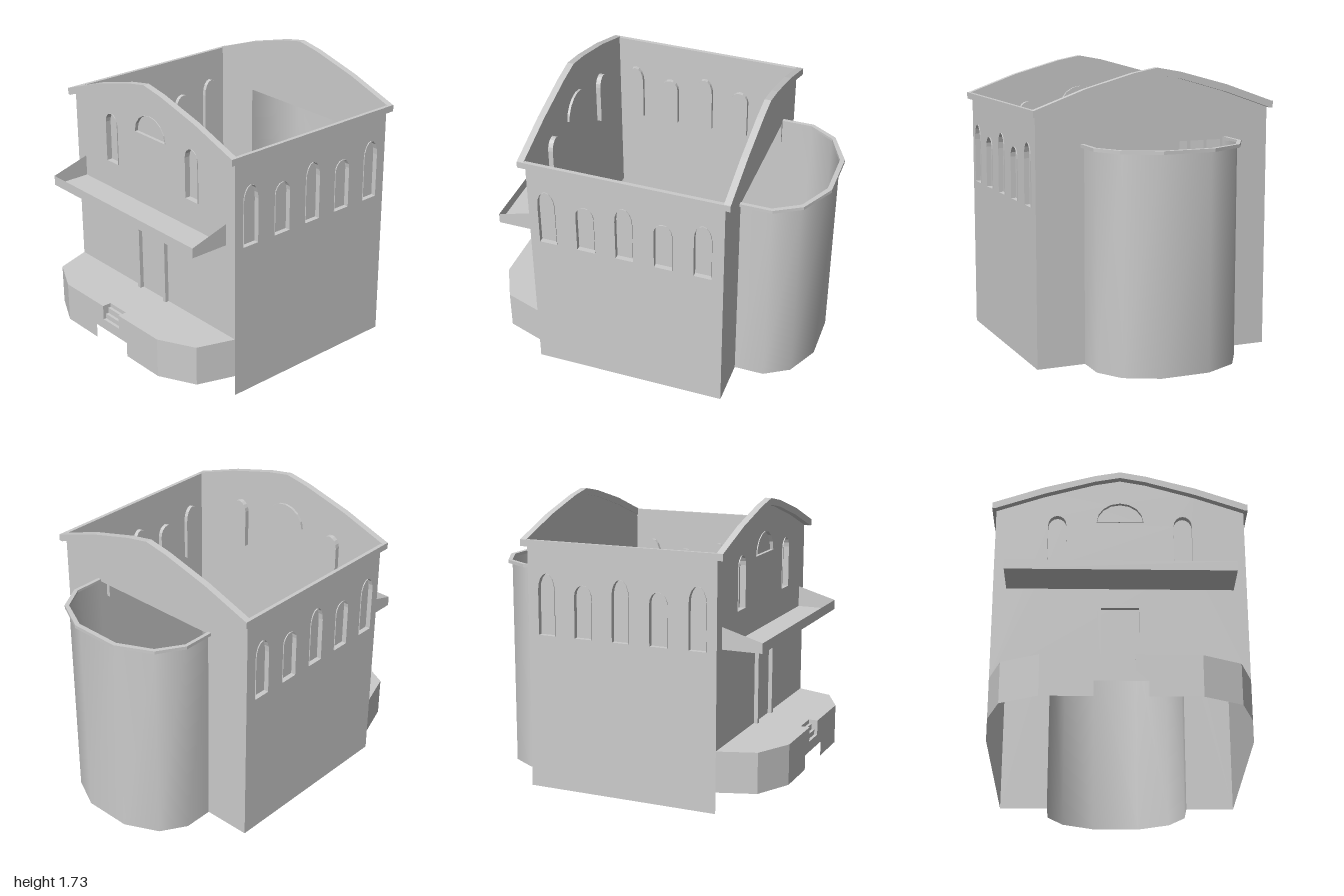
import * as THREE from 'three';

const mat = new THREE.MeshStandardMaterial({ color: 0xcccccc, side: THREE.DoubleSide });
const V = (x, y, z) => new THREE.Vector3(x, y, z);

function add(parent, name, geometry) {
  const mesh = new THREE.Mesh(geometry, mat);
  mesh.name = name;
  parent.add(mesh);
  return mesh;
}

function box(parent, name, x0, x1, y0, y1, z0, z1) {
  const m = add(parent, name, new THREE.BoxGeometry(x1 - x0, y1 - y0, z1 - z0));
  m.position.set((x0 + x1) / 2, (y0 + y1) / 2, (z0 + z1) / 2);
}

// Surface through rows of points; smooth or faceted
function loft(rows, smooth = false) {
  const n = rows[0].length, index = [];
  for (let r = 0; r < rows.length - 1; r++) {
    for (let i = 0; i < n - 1; i++) {
      const a = r * n + i, b = a + n;
      index.push(a, a + 1, b + 1, a, b + 1, b);
    }
  }
  let g = new THREE.BufferGeometry().setFromPoints(rows.flat());
  g.setIndex(index);
  if (!smooth) g = g.toNonIndexed();
  g.computeVertexNormals();
  return g;
}

// Outline given as the +x half, mirrored to the -x half
const mirror = half => [...half, ...half.slice().reverse().filter(p => p[0] !== 0).map(([x, y]) => [-x, y])];
const toShape = pts => new THREE.Shape(pts.map(([x, y]) => new THREE.Vector2(x, y)));

// Arched opening outline, counter-clockwise
function arch(cx, w, y0, spring, top, n = 8) {
  const pts = [];
  if (spring > y0) pts.push([cx - w, y0], [cx + w, y0]);
  for (let i = 0; i <= n; i++) {
    const a = Math.PI * i / n;
    pts.push([cx + w * Math.cos(a), spring + (top - spring) * Math.sin(a)]);
  }
  return pts;
}

// Flat wall in local xy with blind arched niches reaching back through it
function nicheWall(name, outline, niches) {
  const wall = new THREE.Group();
  wall.name = name;
  const shape = toShape(outline);
  for (const { pts, depth } of niches) {
    shape.holes.push(toShape(pts));
    const ring = z => [...pts, pts[0]].map(([x, y]) => V(x, y, z));
    add(wall, 'windowReveal', loft([ring(0.006), ring(-depth)]));
    add(wall, 'windowPanel', new THREE.ShapeGeometry(toShape(pts))).position.z = -depth;
  }
  add(wall, name + 'Surface', new THREE.ShapeGeometry(shape));
  return wall;
}

export function createModel() {
  const model = new THREE.Group();
  model.name = 'chapel';
  const W = 0.742, ZF = 0.665, ZB = -0.535, DECK = 0.375;

  // Front and back walls
  const gable = [[W, 1.5], [0.45, 1.61], [0.15, 1.69], [0, 1.715]];
  const front = nicheWall('frontWall', mirror([[W, DECK], ...gable]), [
    { pts: arch(-0.375, 0.055, 1.125, 1.375, 1.44), depth: 0.03 },
    { pts: arch(0.375, 0.055, 1.125, 1.375, 1.44), depth: 0.03 },
    { pts: arch(0, 0.14, 1.4, 1.4, 1.53), depth: 0.015 },
  ]);
  front.position.z = ZF;
  model.add(front);
  // the back wall opens into the apse
  const back = nicheWall('backWall', mirror([[0.445, 0], [W, 0], ...gable]).concat([[-0.445, 0], [-0.445, 1.29], [0.445, 1.29]])
    .filter((p, i, all) => all.findIndex(q => q[0] === p[0] && q[1] === p[1]) === i), []);
  back.position.z = ZB;
  model.add(back);

  // Side walls, five arched windows each
  for (const s of [1, -1]) {
    const niches = [0.55, 0.31, 0.07, -0.17, -0.41].map((z, i) => ({
      pts: i % 2 ? arch(-s * z, 0.056, 0.945, 1.195, 1.262) : arch(-s * z, 0.054, 0.945, 1.215, 1.315),
      depth: 0.025,
    }));
    const wall = nicheWall(s > 0 ? 'leftWall' : 'rightWall',
      [[-s * ZF, 0], [-s * ZB, 0], [-s * ZB, 1.5], [-s * ZF, 1.5]], niches);
    wall.rotation.y = s * Math.PI / 2;
    wall.position.x = s * W;
    model.add(wall);
    box(model, 'sideCornice', s > 0 ? W : -0.765, s > 0 ? 0.765 : -W, 1.47, 1.51, -0.57, 0.705);
  }

  // Gable cornices
  const cap = toShape(mirror([[0, 1.69], [0.15, 1.662], [0.45, 1.575], [0.742, 1.472], [0.765, 1.47],
    [0.765, 1.508], [0.45, 1.62], [0.15, 1.702], [0, 1.73]]));
  for (const z of [ZF, ZB - 0.035]) {
    add(model, 'gableCornice', new THREE.ExtrudeGeometry(cap, { depth: 0.04, bevelEnabled: false })).position.z = z;
  }

  // Apse with its rim
  const apse = mirror([[0.445, ZB], [0.445, -0.72], [0.352, -0.873], [0.15, -0.972]]);
  const rim = mirror([[0.467, ZB], [0.467, -0.73], [0.372, -0.89], [0.158, -1]]);
  const at = (pts, y) => pts.map(([x, z]) => V(x, y, z));
  add(model, 'apseWall', loft([at(apse, 0), at(apse, 1.29)], true));
  add(model, 'apseRim', loft([at(apse, 1.285), at(rim, 1.285), at(rim, 1.305), at(apse, 1.305), at(apse, 1.285)]));

  // Porch deck with a stair cut
  const S = 0.077, ZS = 0.945;
  const deck = mirror([[S, ZS], [S, 1], [0.445, 1], [0.665, 0.89], [W, ZF]]);
  const deckMesh = add(model, 'porchDeck', new THREE.ShapeGeometry(toShape(deck)));
  deckMesh.rotation.x = Math.PI / 2;
  deckMesh.position.y = DECK;
  // Porch skirt, its front notched above and below
  add(model, 'porchFront', new THREE.ShapeGeometry(toShape(mirror(
    [[0.15, 0.22], [0.15, 0.13], [0.445, 0.13], [0.445, DECK], [S, DECK], [S, 0.285]])))).position.z = 1;
  for (const s of [1, -1]) {
    const side = [[s * 0.445, 1], [s * 0.665, 0.89], [s * W, ZF]];
    add(model, 'porchSide', loft([at(side, 0.13), at(side, DECK)]));
  }

  // Sunken steps and their cheeks
  const steps = [[DECK, ZS], [0.35, ZS], [0.35, 0.963], [0.315, 0.963], [0.315, 0.981], [0.285, 0.981], [0.285, 1]];
  add(model, 'steps', loft([-S, S].map(x => steps.map(([y, z]) => V(x, y, z)))));
  for (const x of [-S, S]) {
    const cheek = add(model, 'stepCheek', new THREE.ShapeGeometry(toShape([...steps, [DECK, 1]].map(([y, z]) => [-z, y]))));
    cheek.rotation.y = Math.PI / 2;
    cheek.position.x = x;
  }

  // Door surround
  const surround = toShape(mirror([[0.11, DECK], [0.135, DECK], [0.135, 0.84]])
    .concat([[-0.11, DECK], [-0.11, 0.815], [0.11, 0.815]])
    .filter((p, i, all) => all.findIndex(q => q[0] === p[0] && q[1] === p[1]) === i));
  add(model, 'doorFrame', new THREE.ExtrudeGeometry(surround, { depth: 0.025, bevelEnabled: false })).position.z = ZF;

  // Canopy: floor, front lip and sloping end cheeks
  const C = 0.665, ZC = 0.907;
  add(model, 'canopyTray', loft([-C, C].map(x => [V(x, 0.95, ZF), V(x, 0.95, ZC), V(x, 1.01, ZC)])));
  for (const x of [-C, C]) {
    const cheek = add(model, 'canopyCheek', new THREE.ShapeGeometry(
      toShape([[-ZC, 0.95], [-ZF, 0.95], [-ZF, 1.08], [-ZC, 1.01]])));
    cheek.rotation.y = Math.PI / 2;
    cheek.position.x = x;
  }
  return model;
}
